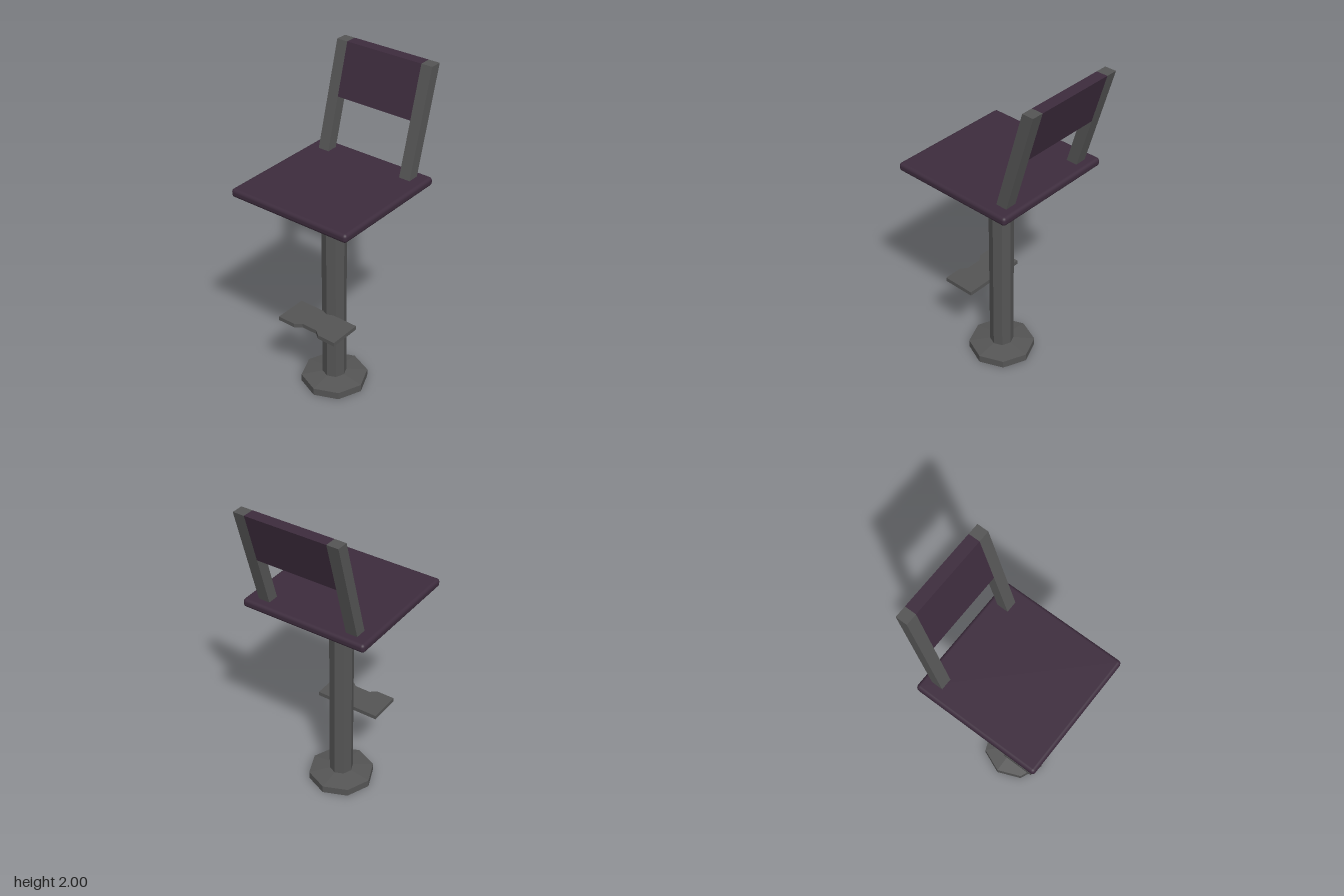
import * as THREE from 'three';
import { RoundedBoxGeometry } from 'three/addons/geometries/RoundedBoxGeometry.js';

export function createModel() {
  const group = new THREE.Group();
  const metal = new THREE.MeshStandardMaterial({ color: 0x555555, flatShading: true });
  const upholstery = new THREE.MeshStandardMaterial({ color: 0x3d2c3d });
  const POST_X = -0.053;

  function add(name, geometry, material, x = 0, y = 0, z = 0) {
    const mesh = new THREE.Mesh(geometry, material);
    mesh.name = name;
    mesh.position.set(x, y, z);
    group.add(mesh);
    return mesh;
  }

  // Extrude an outline along z, centred on z = 0
  function slab(points, depth) {
    const shape = new THREE.Shape(points.map(([x, y]) => new THREE.Vector2(x, y)));
    return new THREE.ExtrudeGeometry(shape, { depth, bevelEnabled: false }).translate(0, 0, -depth / 2);
  }

  // Octagonal foot with a shallow sloping top
  const foot = [[0, 0], [0.203, 0], [0.203, 0.047], [0.072, 0.066], [0, 0.066]];
  add('foot', new THREE.LatheGeometry(foot.map(([r, y]) => new THREE.Vector2(r, y)), 8), metal, POST_X);

  // Octagonal post
  add('post', new THREE.CylinderGeometry(0.073, 0.073, 1.2, 8), metal, POST_X, 0.66);

  // Square bracket under the seat, tapering into the post
  add('seatBracket', new THREE.BoxGeometry(0.28, 0.08, 0.27), metal, POST_X, 1.295);
  const taper = new THREE.CylinderGeometry(0.138 * Math.SQRT2, 0.075 * Math.SQRT2, 0.015, 4, 1, true);
  add('bracketTaper', taper.rotateY(Math.PI / 4), metal, POST_X, 1.2475);

  // Footrest plate with a shallow notch in its leading edge
  const plate = [[-0.11, -0.205], [-0.11, 0.205], [-0.315, 0.205], [-0.315, 0.09],
    [-0.285, 0.05], [-0.285, -0.05], [-0.315, -0.09], [-0.315, -0.205]];
  const footrest = slab(plate, 0.025);
  add('footrest', footrest.rotateX(Math.PI / 2), metal, 0, 0.512);

  // Cushioned seat
  add('seat', new RoundedBoxGeometry(0.793, 0.052, 0.793, 3, 0.02), upholstery, -0.0625, 1.355);

  // Leaning back: horizontal cuts at top and bottom, sheared along x
  function leaning(y0, y1, depth) {
    const front = (y) => 0.21 + ((y - 1.38) * 0.175) / 0.62;
    return slab([[front(y0), y0], [front(y0) + 0.07, y0], [front(y1) + 0.07, y1], [front(y1), y1]], depth);
  }
  for (const side of [-1, 1]) {
    add(side > 0 ? 'leftUpright' : 'rightUpright', leaning(1.37, 2, 0.071), metal, 0, 0, side * 0.2865);
  }
  add('backrest', leaning(1.695, 2, 0.502), upholstery);

  return group;
}
